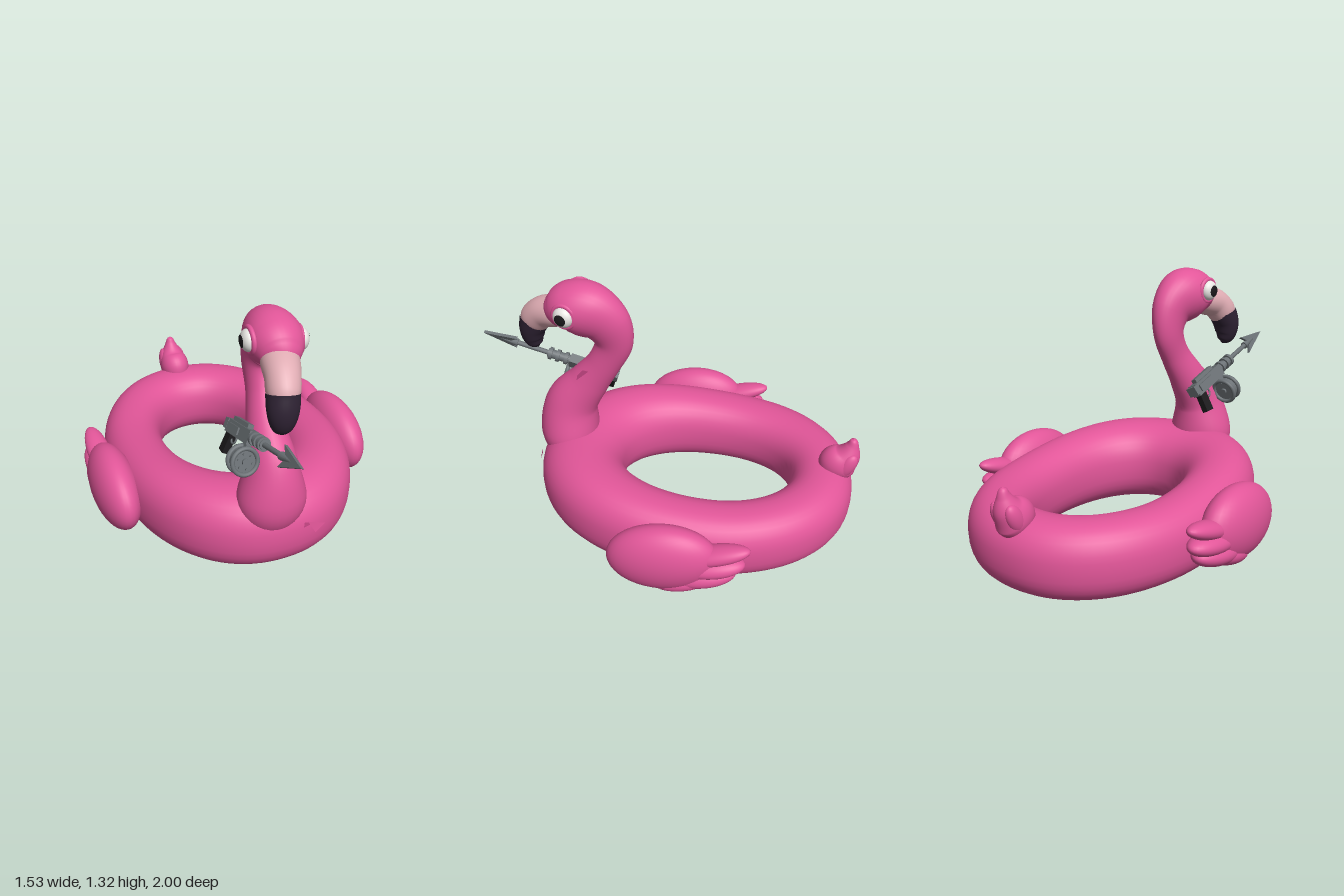
import * as THREE from 'three';

const mat = (name, color, extra = {}) => new THREE.MeshStandardMaterial({ name, color, ...extra });

// Grid of points (rows x cols, columns always wrap) turned into a smooth surface
function gridGeometry(rows, cols, wrapRows, pointAt) {
  const pos = [], index = [];
  for (let i = 0; i < rows; i++)
    for (let j = 0; j < cols; j++) pos.push(...pointAt(i, j));
  const last = wrapRows ? rows : rows - 1;
  for (let i = 0; i < last; i++)
    for (let j = 0; j < cols; j++) {
      const i2 = (i + 1) % rows, j2 = (j + 1) % cols;
      const a = i * cols + j, b = i * cols + j2, c = i2 * cols + j, d = i2 * cols + j2;
      index.push(a, b, c, b, d, c);
    }
  const g = new THREE.BufferGeometry();
  g.setAttribute('position', new THREE.Float32BufferAttribute(pos, 3));
  g.setIndex(index);
  g.computeVertexNormals();
  return g;
}

// Elliptical loft; each section is [x, y, z, sideways radius, in-plane radius]
function loft(sections, steps = 8, cols = 32) {
  const path = new THREE.CatmullRomCurve3(sections.map(s => new THREE.Vector3(s[0], s[1], s[2])), false, 'catmullrom');
  const radii = new THREE.CatmullRomCurve3(sections.map(s => new THREE.Vector3(s[3], s[4], 0)), false, 'catmullrom');
  const rows = (sections.length - 1) * steps + 1;
  const frames = [];
  for (let i = 0; i < rows; i++) {
    const u = i / (rows - 1), t = path.getTangent(u);
    const side = new THREE.Vector3(1, 0, 0).addScaledVector(t, -t.x).normalize();
    frames.push({ c: path.getPoint(u), r: radii.getPoint(u), side, up: t.clone().cross(side) });
  }
  return gridGeometry(rows, cols, false, (i, j) => {
    const a = j / cols * Math.PI * 2, f = frames[i];
    return f.c.clone()
      .addScaledVector(f.side, Math.cos(a) * Math.max(f.r.x, 0.001))
      .addScaledVector(f.up, Math.sin(a) * Math.max(f.r.y, 0.001)).toArray();
  });
}

// Superellipse helper: signed power of a sine or cosine
const sp = (v, n) => Math.sign(v) * Math.pow(Math.abs(v), 2 / n);

function ringGeometry() {
  const rows = 96, cols = 36;
  return gridGeometry(cols, rows, true, (j, i) => {
    const t = -i / rows * Math.PI * 2, s = -j / cols * Math.PI * 2;
    const x = sp(Math.sin(t), 2.15), z = sp(Math.cos(t), 2.15);
    const k = (1 + sp(Math.cos(s), 2.2)) / 2;
    const px = THREE.MathUtils.lerp(0.295 * x, 0.62 * x, k);
    const pz = THREE.MathUtils.lerp(-0.205 + 0.445 * z, -0.15 + 0.83 * z, k);
    const top = 0.38 + 0.065 * THREE.MathUtils.smoothstep(pz, -0.45, 0.45);
    const mid = (top + 0.01) / 2;
    return [px, mid - sp(Math.sin(s), 2.4) * (top - mid) * -1, pz];
  });
}

export function createModel() {
  const model = new THREE.Group();
  const pink = mat('flamingo pink', 0xe25699);
  const pinkSheet = mat('patch pink', 0xc44583, { side: THREE.DoubleSide });
  const pale = mat('pale beak', 0xe0adb4);
  const dark = mat('beak black', 0x2e2233);
  const white = mat('eye white', 0xe9e8e4);
  const black = mat('pupil black', 0x1b1a1c);
  const steel = mat('steel grey', 0x6b7175);

  const add = (parent, name, geo, material, p = [0, 0, 0], r = [0, 0, 0], s = [1, 1, 1]) => {
    const m = new THREE.Mesh(geo, material);
    m.name = name;
    m.position.set(...p);
    m.rotation.set(...r);
    m.scale.set(...s);
    parent.add(m);
    return m;
  };
  const group = (name, p = [0, 0, 0], r = [0, 0, 0]) => {
    const g = new THREE.Group();
    g.name = name;
    g.position.set(...p);
    g.rotation.set(...r);
    model.add(g);
    return g;
  };
  const ball = new THREE.SphereGeometry(1, 36, 24);

  // Inflatable swim ring
  add(model, 'swimRing', ringGeometry(), pink);

  // Curved neck flowing into the head
  add(model, 'neckAndHead', loft([
    [-0.05, 0.30, 0.53, 0.15, 0.13],
    [-0.05, 0.42, 0.545, 0.17, 0.155],
    [-0.042, 0.59, 0.52, 0.122, 0.137],
    [-0.032, 0.74, 0.42, 0.088, 0.105],
    [-0.015, 0.875, 0.33, 0.066, 0.087],
    [-0.008, 1.0, 0.277, 0.068, 0.097],
    [0, 1.11, 0.305, 0.088, 0.125],
    [-0.005, 1.175, 0.385, 0.122, 0.142],
    [-0.014, 1.19, 0.475, 0.13, 0.128],
    [-0.025, 1.165, 0.555, 0.095, 0.09],
    [-0.035, 1.15, 0.595, 0.04, 0.04],
    [-0.036, 1.148, 0.6, 0.001, 0.001],
  ]), pink);

  // Two-tone hooked beak
  add(model, 'beakBase', loft([
    [-0.025, 1.15, 0.53, 0.085, 0.075],
    [-0.04, 1.138, 0.575, 0.087, 0.08],
    [-0.062, 1.113, 0.64, 0.08, 0.078],
    [-0.083, 1.06, 0.69, 0.073, 0.077],
    [-0.09, 1.03, 0.703, 0.05, 0.05],
  ]), pale);
  add(model, 'beakTip', loft([
    [-0.083, 1.065, 0.688, 0.075, 0.08],
    [-0.093, 1.0, 0.712, 0.073, 0.068],
    [-0.095, 0.94, 0.714, 0.06, 0.055],
    [-0.09, 0.9, 0.7, 0.037, 0.034],
    [-0.087, 0.884, 0.69, 0.001, 0.001],
  ]), dark);

  // Bulging eyes with lids and pupils
  const cap = new THREE.SphereGeometry(0.054, 24, 8, 0, Math.PI * 2, 0, 0.58).rotateX(Math.PI / 2);
  for (const [name, p, turn] of [['leftEye', [0.102, 1.19, 0.49], 1.32], ['rightEye', [-0.138, 1.215, 0.455], -1.65]]) {
    const eye = group(name, p, [0, turn, 0]);
    add(eye, 'eyeball', ball, white, [0, 0, 0], [0, 0, 0], [0.052, 0.052, 0.036]);
    add(eye, 'pupil', cap, black, [0, 0, 0.001], [0, 0, 0], [1, 1, 0.7]);
    add(eye, 'eyelid', new THREE.TorusGeometry(0.057, 0.012, 10, 32), pink, [0, 0, -0.008]);
  }

  // Wings with layered feathers: [y, z, tilt, height radius, length radius, thickness]
  const feathers = [
    [0.285, -0.31, 0.3, 0.046, 0.185, 0.062],
    [0.215, -0.29, 0.17, 0.055, 0.18, 0.08],
    [0.15, -0.25, 0.2, 0.06, 0.18, 0.085],
    [0.115, -0.17, 0.3, 0.058, 0.17, 0.085],
  ];
  for (const [name, side] of [['leftWing', 1], ['rightWing', -1]]) {
    const wing = group(name);
    add(wing, 'wingBody', ball, pink, [side * 0.65, 0.235, -0.065], [0.12, 0, 0], [0.117, 0.188, 0.275]);
    for (const [y, z, tilt, h, l, w] of feathers)
      add(wing, 'feather', ball, pink, [side * 0.652, y, z], [tilt, 0, 0], [w, h, l]);
  }

  // Upturned tail tuft
  add(model, 'tail', loft([
    [0, 0.3, -0.85, 0.06, 0.07],
    [0, 0.38, -0.888, 0.083, 0.1],
    [0, 0.44, -0.93, 0.065, 0.07],
    [0, 0.5, -0.947, 0.033, 0.035],
    [0, 0.535, -0.95, 0.018, 0.018],
    [0, 0.545, -0.95, 0.001, 0.001],
  ]), pink);
  for (const side of [1, -1])
    add(model, 'tailFeather', ball, pink, [side * 0.045, 0.395, -0.925], [-0.5, 0, 0], [0.035, 0.085, 0.045]);

  // Small torn patches on ring and neck
  const tri = (...pts) => new THREE.ShapeGeometry(new THREE.Shape(pts.map(p => new THREE.Vector2(...p))));
  const patch = group('ringPatch', [0.11, 0.28, 0.682], [-0.1, 0.08, 0]);
  add(patch, 'patchFlap', tri([-0.05, 0.032], [-0.055, 0.005], [0.005, 0.012]), pinkSheet);
  add(patch, 'patchFlap', tri([-0.03, 0.03], [0.065, -0.01], [0.01, -0.045]), pink);
  add(model, 'neckPatch', tri([-0.035, -0.03], [0.03, 0.03], [0.0, 0.035], [-0.03, 0.0]), pinkSheet,
    [0.048, 0.82, 0.43], [0, Math.PI / 2, 0]);

  // Harpoon launcher beside the neck, local +z pointing forward
  const gun = group('harpoonLauncher', [-0.152, 0.735, 0.42], [-0.28, 0, -0.48]);
  const rod = (name, r, len, p, material = steel, sides = 20) =>
    add(gun, name, new THREE.CylinderGeometry(r, r, len, sides).rotateX(Math.PI / 2), material, p);
  add(gun, 'receiver', new THREE.BoxGeometry(0.05, 0.065, 0.25), steel, [0, -0.005, 0.01]);
  add(gun, 'topRail', new THREE.BoxGeometry(0.03, 0.025, 0.16), steel, [0, 0.035, 0.0]);
  add(gun, 'sidePlate', new THREE.BoxGeometry(0.066, 0.035, 0.12), steel, [0, -0.005, -0.03]);
  add(gun, 'rearBlock', new THREE.BoxGeometry(0.06, 0.05, 0.035), steel, [0, 0, -0.115]);
  rod('barrel', 0.024, 0.15, [0, 0, 0.18]);
  for (const z of [0.155, 0.2, 0.24]) rod('collar', 0.033, 0.018, [0, 0, z]);
  rod('harpoonShaft', 0.013, 0.28, [0, 0, 0.34], steel, 12);

  // Barbed arrowhead
  const head = new THREE.Shape([[0.605, 0], [0.425, 0.05], [0.455, 0.014], [0.43, 0], [0.455, -0.014], [0.425, -0.05]]
    .map(p => new THREE.Vector2(...p)));
  const headGeo = new THREE.ExtrudeGeometry(head, { depth: 0.016, bevelEnabled: false });
  headGeo.translate(0, 0, -0.008).rotateY(-Math.PI / 2);
  add(gun, 'harpoonHead', headGeo, steel);
  add(gun, 'harpoonCore', new THREE.ConeGeometry(0.02, 0.16, 12).rotateX(Math.PI / 2), steel, [0, 0, 0.5]);

  // Line reel with raised rims and hub
  const reel = [0, -0.115, 0.11];
  rod('reelDrum', 0.058, 0.05, reel, steel, 28);
  for (const dz of [-0.026, 0.026]) {
    add(gun, 'reelRim', new THREE.TorusGeometry(0.062, 0.011, 10, 32), steel, [0, reel[1], reel[2] + dz]);
    rod('reelHub', 0.016, 0.02, [0, reel[1], reel[2] + dz]);
  }
  for (let i = 0; i < 6; i++) {
    const a = i * Math.PI / 3;
    rod('reelBolt', 0.006, 0.012, [Math.cos(a) * 0.037, reel[1] + Math.sin(a) * 0.037, reel[2] + 0.027], steel, 8);
  }
  add(gun, 'reelBracket', new THREE.BoxGeometry(0.025, 0.05, 0.04), steel, [0, -0.045, 0.1]);

  // Grip and trigger guard
  add(gun, 'grip', new THREE.BoxGeometry(0.035, 0.1, 0.05), black, [0, -0.085, -0.09], [0.2, 0, 0]);
  add(gun, 'triggerGuard', new THREE.TorusGeometry(0.025, 0.005, 8, 20).rotateY(Math.PI / 2), steel, [0, -0.052, -0.04]);

  return model;
}
